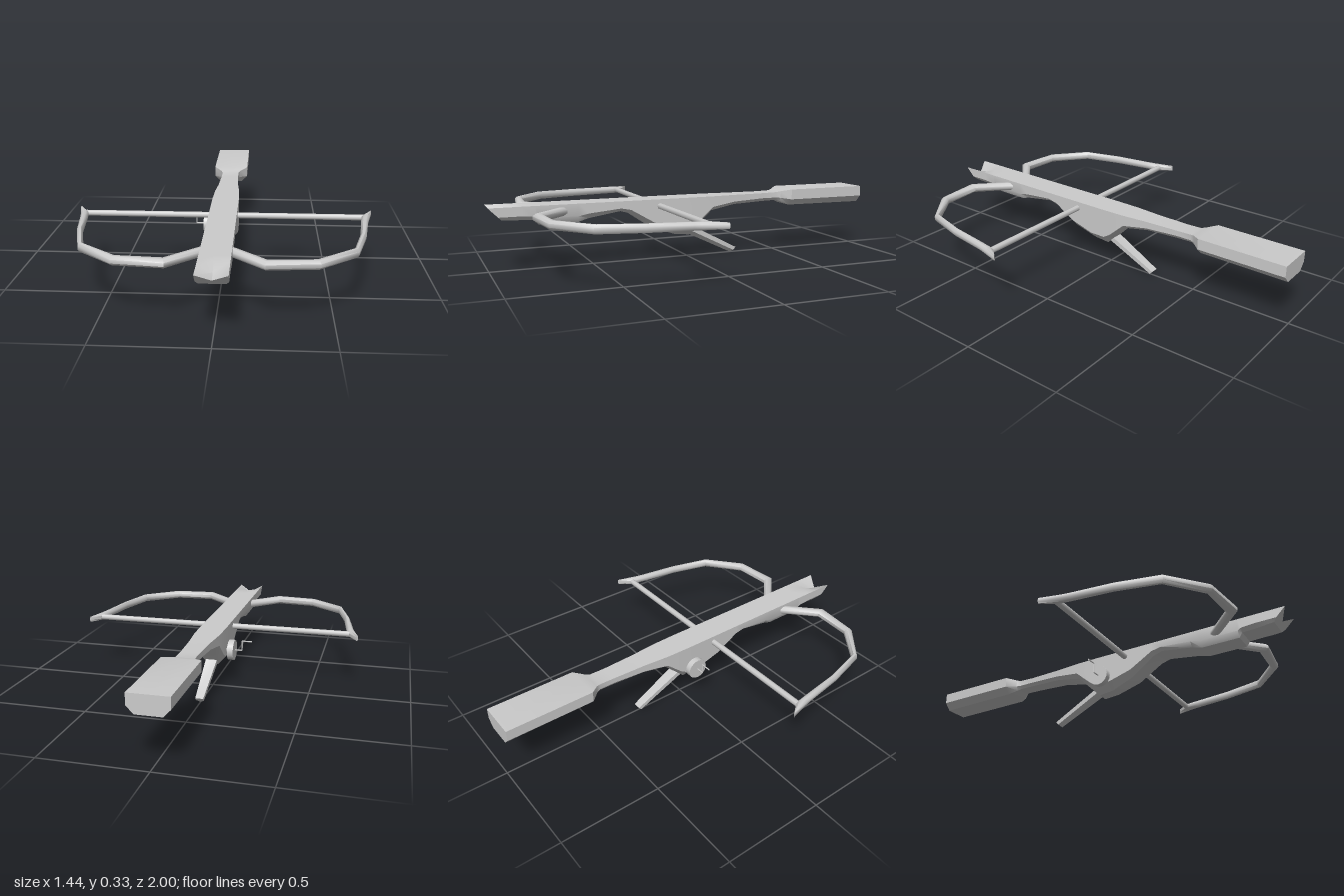
import * as THREE from 'three';
import { toCreasedNormals } from 'three/addons/utils/BufferGeometryUtils.js';

const material = new THREE.MeshStandardMaterial({ color: 0xcccccc });

function addMesh(parent, name, geometry) {
  const mesh = new THREE.Mesh(geometry, material);
  mesh.name = name;
  parent.add(mesh);
  return mesh;
}

// Skin a list of equal-sized rings and close both ends with fans.
function loft(rings, crease = 0.6) {
  const n = rings[0].length;
  const points = rings.flat();
  const index = [];
  for (let i = 0; i < rings.length - 1; i++) {
    for (let j = 0; j < n; j++) {
      const k = (j + 1) % n;
      const a = i * n + j, b = i * n + k, d = a + n, c = b + n;
      index.push(a, d, b, b, d, c);
    }
  }
  [0, rings.length - 1].forEach((r, end) => {
    const centre = new THREE.Vector3();
    rings[r].forEach((p) => centre.addScaledVector(p, 1 / n));
    const m = points.push(centre) - 1;
    for (let j = 0; j < n; j++) {
      const a = r * n + j, b = r * n + (j + 1) % n;
      if (end) index.push(m, b, a);
      else index.push(m, a, b);
    }
  });
  const geometry = new THREE.BufferGeometry().setFromPoints(points);
  geometry.setIndex(index);
  return toCreasedNormals(geometry, crease);
}

const vec = (x, y, z) => new THREE.Vector3(x, y, z);

// Stock section: z, half width, top, groove height, side bottom, belly half width, belly.
// The front end is raked so the top overhangs.
const STOCK = [
  [1.0, 0.067, 0.315, 0.272, 0.27, 0.055, 0.255],
  [0.94, 0.067, 0.315, 0.29, 0.27, 0.055, 0.253],
  [0.85, 0.067, 0.315, 0.315, 0.27, 0.05, 0.25],
  [0.785, 0.067, 0.315, 0.315, 0.265, 0.05, 0.248],
  [0.77, 0.067, 0.315, 0.315, 0.255, 0.05, 0.225],
  [0.58, 0.067, 0.315, 0.315, 0.255, 0.05, 0.225],
  [0.53, 0.067, 0.315, 0.315, 0.265, 0.05, 0.24],
  [0.37, 0.067, 0.315, 0.315, 0.28, 0.05, 0.265],
  [0.32, 0.067, 0.315, 0.315, 0.27, 0.048, 0.25],
  [0.2, 0.067, 0.315, 0.315, 0.2, 0.04, 0.17],
  [0.08, 0.067, 0.315, 0.315, 0.165, 0.03, 0.128],
  [0.0, 0.067, 0.315, 0.315, 0.165, 0.028, 0.12],
  [-0.035, 0.066, 0.315, 0.315, 0.185, 0.03, 0.155],
  [-0.12, 0.064, 0.315, 0.315, 0.26, 0.04, 0.24],
  [-0.25, 0.053, 0.315, 0.315, 0.28, 0.038, 0.265],
  [-0.42, 0.046, 0.315, 0.315, 0.288, 0.034, 0.272],
  [-0.5, 0.046, 0.317, 0.317, 0.288, 0.034, 0.274],
  [-0.52, 0.055, 0.322, 0.322, 0.286, 0.04, 0.267],
  [-0.565, 0.093, 0.333, 0.333, 0.28, 0.06, 0.248],
  [-1.0, 0.093, 0.333, 0.333, 0.28, 0.06, 0.245],
];

function stockGeometry() {
  return loft(STOCK.map(([z, w, top, groove, side, bw, bot], i) => {
    const outline = [[0, groove], [-w, top], [-w, side], [-bw, bot], [bw, bot], [w, side], [w, top]];
    return outline.map(([x, y]) => vec(x, y, i === 0 ? z + y - top : i === 1 ? z - 0.03 : z));
  }));
}

// Limb stations: outer x, outer z, inner x, inner z, half height.
const LIMB = [
  [0.02, 0.645, 0.04, 0.605, 0.02],
  [0.065, 0.69, 0.075, 0.645, 0.02],
  [0.205, 0.825, 0.215, 0.775, 0.02],
  [0.43, 0.8, 0.41, 0.765, 0.02],
  [0.6, 0.652, 0.58, 0.633, 0.02],
  [0.656, 0.445, 0.63, 0.435, 0.019],
  [0.688, 0.25, 0.655, 0.245, 0.018],
  [0.695, 0.215, 0.668, 0.165, 0.018],
  [0.722, 0.102, 0.715, 0.106, 0.014],
];

function limbGeometry(side) {
  const sides = 8;
  return loft(LIMB.map(([ox, oz, ix, iz, h]) => {
    const ring = [];
    for (let j = 0; j < sides; j++) {
      const a = ((j + 0.5) / sides) * Math.PI * 2;
      const t = 0.5 + (0.5 * Math.cos(a)) / Math.cos(Math.PI / sides);
      const y = 0.281 + (h * Math.sin(a)) / Math.cos(Math.PI / sides);
      ring.push(vec(side * (ix + (ox - ix) * t), y, iz + (oz - iz) * t));
    }
    return side < 0 ? ring.reverse() : ring;
  }), 0.85);
}

// Trigger lever stations: half width, top y and z, bottom y and z.
function triggerGeometry() {
  const stations = [
    [0.03, 0.19, -0.01, 0.125, 0.03],
    [0.029, 0.155, -0.035, 0.118, -0.01],
    [0.02, 0.032, -0.272, 0.005, -0.247],
  ];
  return loft(stations.map(([w, ty, tz, by, bz]) => {
    const my = by + (ty - by) * 0.45, mz = bz + (tz - bz) * 0.45;
    return [vec(-w, ty, tz), vec(-w, my, mz), vec(0, by, bz), vec(w, my, mz), vec(w, ty, tz)];
  }));
}

// Straight round rod between two points.
function rod(parent, name, from, to, radius, sides = 8) {
  const dir = to.clone().sub(from);
  const mesh = addMesh(parent, name, new THREE.CylinderGeometry(radius, radius, dir.length(), sides));
  mesh.position.copy(from).addScaledVector(dir, 0.5);
  mesh.quaternion.setFromUnitVectors(vec(0, 1, 0), dir.normalize());
  return mesh;
}

export function createModel() {
  const model = new THREE.Group();
  model.name = 'crossbow';

  addMesh(model, 'stock', stockGeometry());
  addMesh(model, 'triggerLever', triggerGeometry());
  addMesh(model, 'leftLimb', limbGeometry(1));
  addMesh(model, 'rightLimb', limbGeometry(-1));

  // Bowstring stretched between the limb tips
  rod(model, 'bowstring', vec(-0.675, 0.281, 0.17), vec(0.675, 0.281, 0.17), 0.015);

  // Winding wheel with a bent handle on the right side
  const crank = new THREE.Group();
  crank.name = 'crank';
  crank.position.set(0, 0.193, 0.036);
  model.add(crank);
  rod(crank, 'crankAxle', vec(-0.05, 0, 0), vec(-0.08, 0, 0), 0.018, 12);
  rod(crank, 'crankWheel', vec(-0.077, 0, 0), vec(-0.107, 0, 0), 0.052, 20);
  const bends = [vec(-0.1, 0, 0), vec(-0.145, 0, 0), vec(-0.145, 0.05, 0), vec(-0.196, 0.05, 0)];
  for (let i = 0; i < 3; i++) rod(crank, 'crankHandle' + (i + 1), bends[i], bends[i + 1], 0.0035, 6);

  return model;
}
